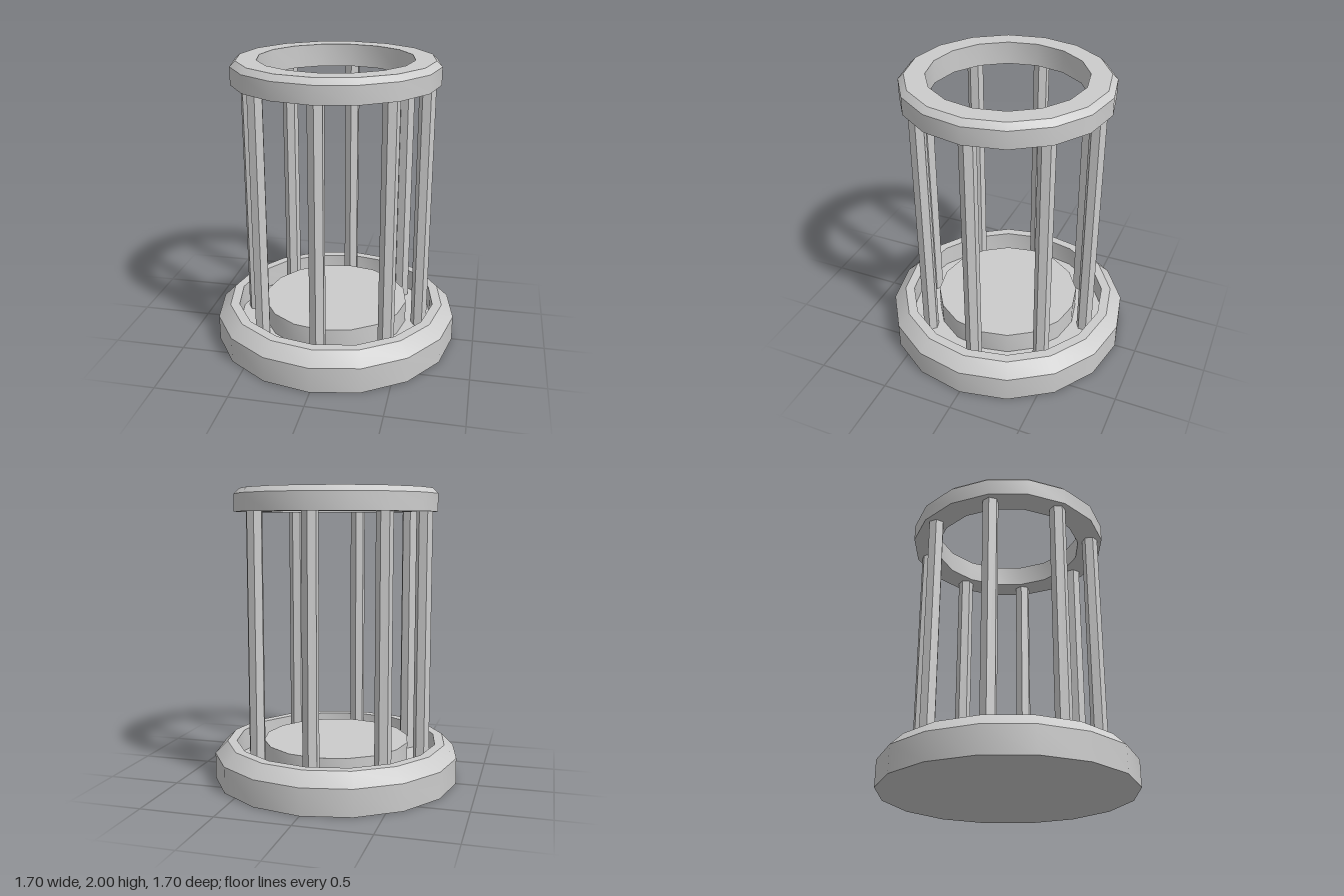
import * as THREE from 'three';
import { toCreasedNormals } from 'three/addons/utils/BufferGeometryUtils.js';

const SIDES = 16;
const BAR_COUNT = 8;
const BAR_CIRCLE = 0.605;
const MOAT_Y = 0.11; // floor of the groove the bars stand in
const RING_Y = 1.845; // underside of the top ring

const material = new THREE.MeshStandardMaterial({ color: 0xcccccc });

// 16-sided turned solid from a [radius, height] profile, hard edges kept sharp
function turned(name, profile) {
  const points = profile.map(([r, y]) => new THREE.Vector2(r, y));
  const geometry = toCreasedNormals(new THREE.LatheGeometry(points, SIDES), 0.5);
  const mesh = new THREE.Mesh(geometry, material);
  mesh.name = name;
  return mesh;
}

export function createModel() {
  const model = new THREE.Group();
  model.name = 'cage';

  // Base: chamfered rim, annular groove and raised centre disc
  model.add(turned('base', [
    [0, 0], [0.85, 0], [0.85, 0.18], [0.765, 0.265], [0.7, 0.265],
    [0.7, MOAT_Y], [0.51, MOAT_Y], [0.51, 0.265], [0, 0.265],
  ]));

  // Top ring: open centre, chamfered outer edge
  model.add(turned('topRing', [
    [0.52, RING_Y], [0.693, RING_Y], [0.693, 1.963], [0.655, 2],
    [0.52, 2], [0.52, RING_Y],
  ]));

  // Hexagonal bars, one corner pointing outward
  const bars = new THREE.Group();
  bars.name = 'bars';
  const height = RING_Y - MOAT_Y;
  const barGeometry = toCreasedNormals(
    new THREE.CylinderGeometry(0.055, 0.055, height, 6), 0.5);
  for (let i = 0; i < BAR_COUNT; i++) {
    const angle = (i / BAR_COUNT) * Math.PI * 2;
    const bar = new THREE.Mesh(barGeometry, material);
    bar.name = `bar${i + 1}`;
    bar.position.set(
      Math.sin(angle) * BAR_CIRCLE, MOAT_Y + height / 2, Math.cos(angle) * BAR_CIRCLE);
    bar.rotation.y = angle;
    bars.add(bar);
  }
  model.add(bars);

  return model;
}
